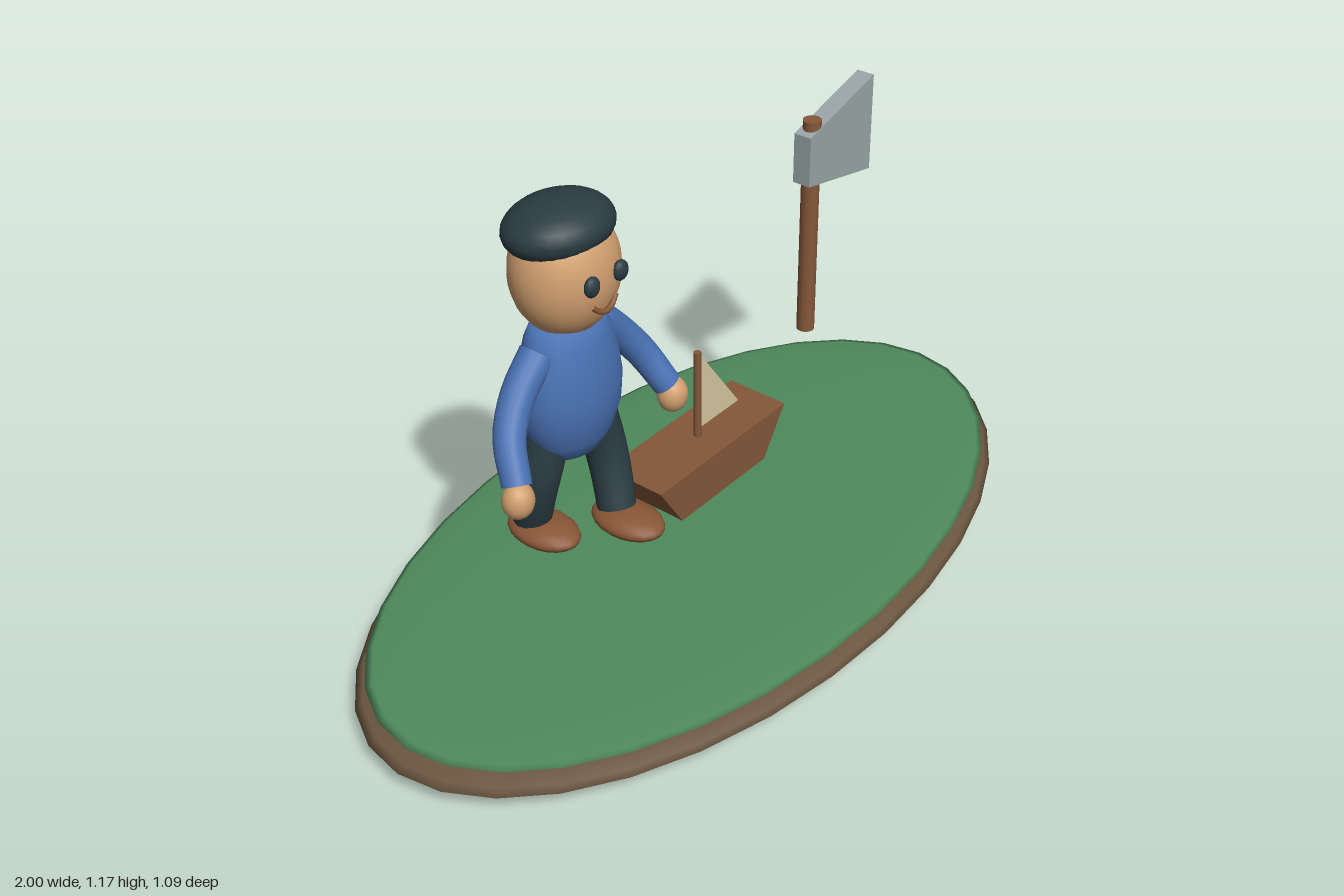
import * as THREE from 'three';

const mat = (color, extra = {}) => new THREE.MeshStandardMaterial({ color, ...extra });
const skin = mat(0xd2a070), blue = mat(0x4a72b4), dark = mat(0x2a3c42);
const leather = mat(0x8a5636), wood = mat(0x85583a, { flatShading: true });
const handleWood = mat(0x85583a), soil = mat(0x6a553f), grass = mat(0x4f8a5c);
const steel = mat(0x98a5a6, { flatShading: true });
const cloth = mat(0xd6c8a0, { flatShading: true });

function add(parent, name, geometry, material, x = 0, y = 0, z = 0) {
  const mesh = new THREE.Mesh(geometry, material);
  mesh.name = name;
  mesh.position.set(x, y, z);
  parent.add(mesh);
  return mesh;
}

function ellipsoid(rx, ry, rz, w = 24, h = 16) {
  return new THREE.SphereGeometry(1, w, h).scale(rx, ry, rz);
}

// Flat outline in x and y, given thickness centred on z = 0
function slab(points, depth) {
  const shape = new THREE.Shape(points.map(([x, y]) => new THREE.Vector2(x, y)));
  return new THREE.ExtrudeGeometry(shape, { depth, bevelEnabled: false }).translate(0, 0, -depth / 2);
}

// Curved limb with a radius running from r0 to r1, closed at both ends
function limb(points, r0, r1) {
  const curve = new THREE.CatmullRomCurve3(points.map((p) => new THREE.Vector3(...p)));
  const rows = 12, sides = 16;
  const geometry = new THREE.TubeGeometry(curve, rows, 1, sides);
  const pos = geometry.attributes.position, v = new THREE.Vector3();
  for (let i = 0; i < pos.count; i++) {
    const t = Math.floor(i / (sides + 1)) / rows;
    const c = curve.getPointAt(t);
    v.fromBufferAttribute(pos, i).sub(c).multiplyScalar(r0 + (r1 - r0) * t).add(c);
    pos.setXYZ(i, v.x, v.y, v.z);
  }
  const index = [...geometry.index.array];
  const normals = [...geometry.attributes.normal.array];
  const positions = [...pos.array];
  for (const [row, t, sign] of [[0, 0, -1], [rows, 1, 1]]) {
    const centre = positions.length / 3;
    const n = curve.getTangentAt(t).multiplyScalar(sign);
    positions.push(...curve.getPointAt(t).toArray());
    normals.push(...n.toArray());
    for (let j = 0; j <= sides; j++) {
      v.fromBufferAttribute(pos, row * (sides + 1) + j);
      positions.push(v.x, v.y, v.z);
      normals.push(n.x, n.y, n.z);
    }
    for (let j = 1; j <= sides; j++) {
      const a = new THREE.Vector3().fromArray(positions, (centre + j) * 3);
      const b = new THREE.Vector3().fromArray(positions, (centre + j + 1) * 3);
      const c = curve.getPointAt(t);
      const outward = a.sub(c).cross(b.sub(c)).dot(n) > 0;
      index.push(centre, centre + (outward ? j : j + 1), centre + (outward ? j + 1 : j));
    }
  }
  const capped = new THREE.BufferGeometry();
  capped.setAttribute('position', new THREE.Float32BufferAttribute(positions, 3));
  capped.setAttribute('normal', new THREE.Float32BufferAttribute(normals, 3));
  capped.setIndex(index);
  return capped;
}

function createIsland() {
  const g = new THREE.Group();
  g.name = 'island';
  add(g, 'soil', ellipsoid(1, 0.057, 0.545, 32, 16), soil, 0, 0.057, 0);
  add(g, 'grass', ellipsoid(0.97, 0.018, 0.525, 32, 16), grass, 0, 0.104, 0);
  return g;
}

function createSailor() {
  const g = new THREE.Group();
  g.name = 'sailor';
  g.position.x = -0.428;

  // Egg-shaped torso
  const profile = [[0, 0.555], [0.04, 0.562], [0.075, 0.583], [0.106, 0.625], [0.126, 0.685],
    [0.13, 0.74], [0.122, 0.8], [0.106, 0.86], [0.086, 0.9], [0, 0.9]];
  const torso = new THREE.LatheGeometry(profile.map(([x, y]) => new THREE.Vector2(x, y)), 28);
  add(g, 'torso', torso.scale(1, 1, 0.73), blue);

  // Head, face and cap
  add(g, 'head', ellipsoid(0.122, 0.145, 0.112, 28, 20), skin, 0, 1.012, 0);
  const cap = add(g, 'cap', ellipsoid(0.126, 0.064, 0.109, 28, 16), dark, 0, 1.105, -0.012);
  cap.rotation.x = -0.1;
  const smile = new THREE.CatmullRomCurve3([[-0.036, 0.972, 0.103], [-0.02, 0.957, 0.107],
    [0, 0.951, 0.11], [0.02, 0.957, 0.107], [0.036, 0.972, 0.103]].map((p) => new THREE.Vector3(...p)));
  add(g, 'mouth', new THREE.TubeGeometry(smile, 14, 0.006, 8), leather);

  for (const [s, side] of [[1, 'left'], [-1, 'right']]) {
    add(g, side + 'Eye', ellipsoid(0.02, 0.023, 0.013, 14, 10), dark, s * 0.043, 1.025, 0.111);

    // Arms swing outward and forward
    add(g, side + 'Arm', limb([[s * 0.09, 0.85, 0], [s * 0.155, 0.785, 0.002],
      [s * 0.207, 0.715, 0.022], [s * 0.238, 0.635, 0.066]], 0.04, 0.032), blue);
    add(g, side + 'Hand', ellipsoid(0.036, 0.042, 0.034, 16, 12), skin, s * 0.246, 0.608, 0.075);

    // Legs in mid stride, the left one forward
    add(g, side + 'Leg', limb([[s * 0.062, 0.64, s * 0.008], [s * 0.084, 0.54, s * 0.018],
      [s * 0.083, 0.47, s * 0.036], [s * 0.072, 0.4, s * 0.058]], 0.05, 0.043), dark);
    add(g, side + 'Shoe', ellipsoid(0.062, 0.03, 0.092, 20, 12), leather,
      s * 0.07, 0.38, s > 0 ? 0.092 : -0.027);
  }
  return g;
}

function createBoat() {
  const g = new THREE.Group();
  g.name = 'boat';
  add(g, 'hull', slab([[-0.155, 0.246], [0.155, 0.246], [0.232, 0.364], [-0.232, 0.364]], 0.16), wood);
  add(g, 'mast', new THREE.CylinderGeometry(0.009, 0.009, 0.235, 10), handleWood, 0, 0.476, 0);
  add(g, 'sail', slab([[0.008, 0.385], [0.15, 0.385], [0.008, 0.582]], 0.008), cloth);
  return g;
}

function createAxe() {
  const g = new THREE.Group();
  g.name = 'axe';
  add(g, 'handle', new THREE.CylinderGeometry(0.022, 0.022, 0.56, 14), handleWood, 0.423, 0.733, 0);
  add(g, 'blade', slab([[0.386, 0.86], [0.635, 0.81], [0.635, 1.055], [0.386, 0.985]], 0.046), steel);
  return g;
}

export function createModel() {
  const model = new THREE.Group();
  model.name = 'islandScene';
  model.add(createIsland(), createSailor(), createBoat(), createAxe());
  return model;
}
